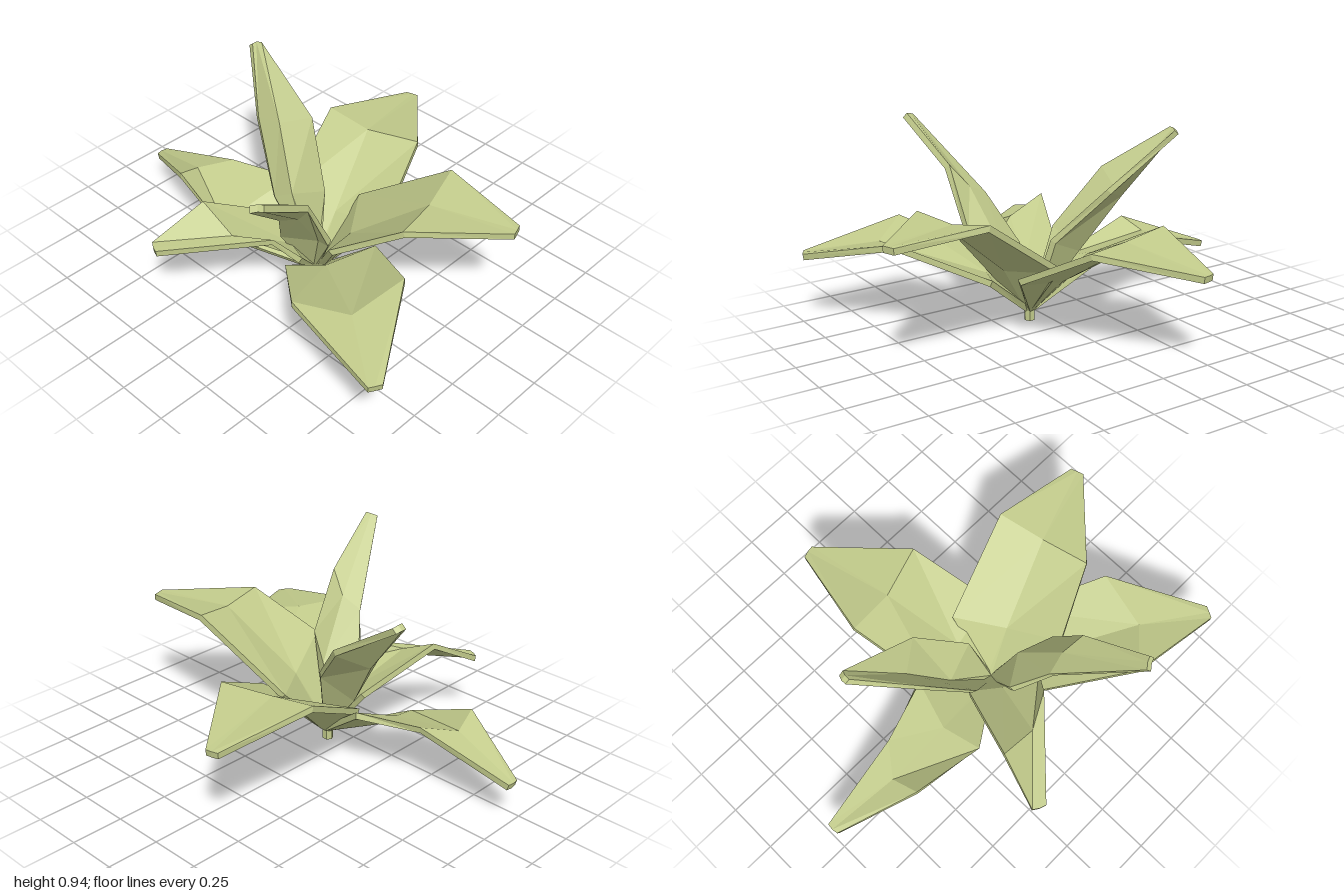
import * as THREE from 'three';

const material = new THREE.MeshStandardMaterial({ color: 0xc2cb8b, flatShading: true });
const ROOT = new THREE.Vector3(-0.16, 0.07, 0.09);
const THICKNESS = 0.03;

// Each row is a cross-section (left edge, midrib, right edge) seen looking outward:
// lower blade, shoulder, tip.
const LEAVES = {
  sideLeaf: [
    [[-0.08, 0.30, -0.19], [0.02, 0.26, 0.04], [0.07, 0.31, 0.30]],
    [[0.35, 0.53, -0.31], [0.37, 0.50, -0.08], [0.45, 0.51, 0.17]],
    [[0.81, 0.45, -0.21], [0.82, 0.45, -0.18], [0.825, 0.45, -0.15]]],
  frontLeaf: [
    [[0.12, 0.34, 0.10], [-0.10, 0.32, 0.25], [-0.35, 0.43, 0.35]],
    [[0.24, 0.65, 0.54], [0.02, 0.61, 0.60], [-0.21, 0.625, 0.65]],
    [[0.18, 0.61, 0.965], [0.15, 0.61, 0.975], [0.12, 0.61, 0.985]]],
  frontRightLeaf: [
    [[-0.05, 0.28, 0.36], [-0.27, 0.24, 0.26], [-0.43, 0.28, 0.16]],
    [[-0.28, 0.46, 0.73], [-0.55, 0.40, 0.68], [-0.71, 0.46, 0.49]],
    [[-0.71, 0.35, 1.0], [-0.74, 0.35, 0.985], [-0.765, 0.35, 0.97]]],
  backLeaf: [
    [[-0.40, 0.185, -0.24], [-0.22, 0.25, -0.30], [0.00, 0.33, -0.24]],
    [[-0.37, 0.35, -0.62], [-0.24, 0.30, -0.65], [-0.10, 0.33, -0.54]],
    [[-0.22, 0.20, -0.995], [-0.19, 0.20, -1.0], [-0.16, 0.20, -0.995]]],
  backRightLeaf: [
    [[-0.36, 0.30, 0.20], [-0.28, 0.25, 0.04], [-0.19, 0.30, -0.10]],
    [[-0.46, 0.42, 0.12], [-0.55, 0.40, -0.05], [-0.55, 0.49, -0.24]],
    [[-0.83, 0.36, -0.25], [-0.82, 0.36, -0.28], [-0.80, 0.36, -0.31]]],
  tallFrontLeaf: [
    [[-0.31, 0.45, 0.33], [-0.23, 0.35, 0.19], [-0.32, 0.34, 0.04]],
    [[-0.46, 0.74, 0.34], [-0.43, 0.63, 0.25], [-0.45, 0.58, 0.15]],
    [[-0.76, 0.945, 0.40], [-0.77, 0.94, 0.375], [-0.79, 0.93, 0.35]]],
  tallBackLeaf: [
    [[-0.24, 0.42, -0.10], [-0.10, 0.34, -0.13], [-0.05, 0.42, 0.04]],
    [[-0.13, 0.71, -0.31], [0.00, 0.61, -0.31], [0.09, 0.66, -0.18]],
    [[0.075, 0.91, -0.56], [0.10, 0.91, -0.56], [0.125, 0.90, -0.55]]],
};

// Thin folded blade lofted through the root and its cross-sections
function leafGeometry(rows) {
  const sections = rows.map(row => row.map(p => new THREE.Vector3(...p)));
  const rootAcross = sections[0][2].clone().sub(sections[0][0]).setLength(0.02);
  sections.unshift([-1, 0, 1].map(s => ROOT.clone().addScaledVector(rootAcross, s)));

  const positions = [];
  sections.forEach((top, i) => {
    const before = sections[Math.max(i - 1, 0)][1];
    const after = sections[Math.min(i + 1, sections.length - 1)][1];
    const down = top[2].clone().sub(top[0])
      .cross(after.clone().sub(before)).setLength(-THICKNESS);
    const under = top.map(p => p.clone().add(down)).reverse();
    [...top, ...under].forEach(p => positions.push(p.x, p.y, p.z));
  });

  const index = [];
  const quad = (a, b, c, d) => index.push(a, b, c, a, c, d);
  const last = (sections.length - 1) * 6;
  for (let s = 0; s < last; s += 6) {
    for (let k = 0; k < 6; k++) {
      const n = (k + 1) % 6;
      quad(s + k, s + n, s + 6 + n, s + 6 + k);
    }
  }
  // End caps
  quad(last, last + 1, last + 4, last + 5);
  quad(last + 1, last + 2, last + 3, last + 4);
  quad(5, 4, 1, 0);
  quad(4, 3, 2, 1);

  const geometry = new THREE.BufferGeometry();
  geometry.setAttribute('position', new THREE.Float32BufferAttribute(positions, 3));
  geometry.setIndex(index);
  const flat = geometry.toNonIndexed();
  flat.computeVertexNormals();
  return flat;
}

export function createModel() {
  const group = new THREE.Group();
  group.name = 'leafyPlant';

  // Short stem
  const stem = new THREE.Mesh(new THREE.CylinderGeometry(0.027, 0.027, 0.07, 6), material);
  stem.name = 'stem';
  stem.position.set(ROOT.x, 0.035, ROOT.z);
  group.add(stem);

  // Leaves
  for (const [name, rows] of Object.entries(LEAVES)) {
    const leaf = new THREE.Mesh(leafGeometry(rows), material);
    leaf.name = name;
    group.add(leaf);
  }
  return group;
}
